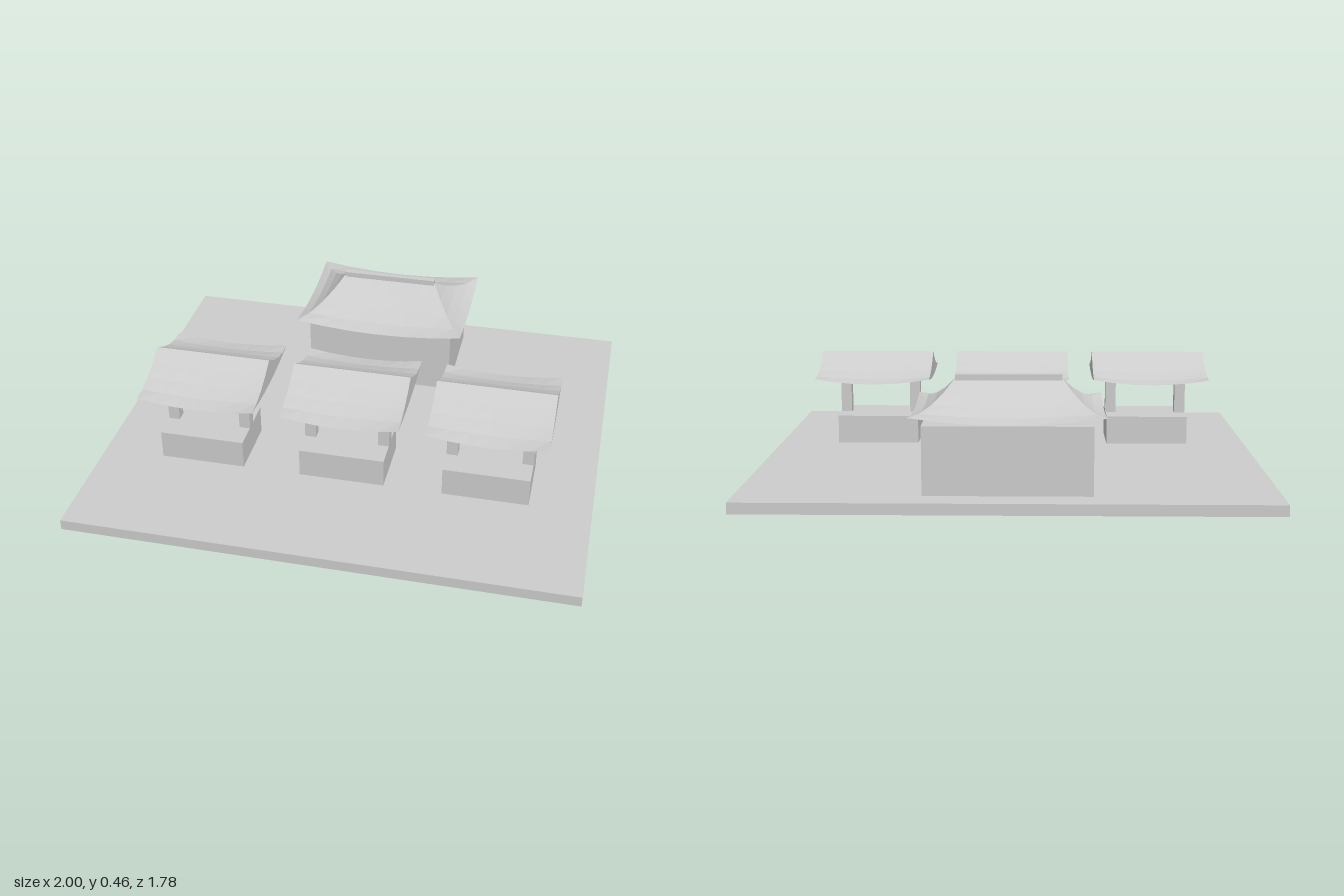
import * as THREE from 'three';

const stone = new THREE.MeshStandardMaterial({ color: 0xcccccc, side: THREE.DoubleSide, flatShading: true });
stone.name = 'pale grey';

function box(name, w, h, d, x, bottom, z) {
  const mesh = new THREE.Mesh(new THREE.BoxGeometry(w, h, d), stone);
  mesh.name = name;
  mesh.position.set(x, bottom + h / 2, z);
  return mesh;
}

// One curved roof side: straight ridge edge a-b down to a sagging eave edge c-d.
function roofSide(name, a, b, c, d, drop, lift) {
  const geo = new THREE.PlaneGeometry(1, 1, 6, 4);
  const pos = geo.attributes.position;
  const top = new THREE.Vector3(), low = new THREE.Vector3();
  for (let i = 0; i < pos.count; i++) {
    const s = pos.getX(i) + 0.5, t = 0.5 - pos.getY(i);
    const u = 2 * s - 1;
    top.lerpVectors(a, b, s);
    low.lerpVectors(c, d, s);
    top.lerp(low, t);
    const y = -drop * (1 - Math.pow(1 - t, 1.6)) + lift * u * u * t * t;
    pos.setXYZ(i, top.x, y, top.z);
  }
  geo.computeVertexNormals();
  const mesh = new THREE.Mesh(geo, stone);
  mesh.name = name;
  return mesh;
}

// Four-sided roof with its ridge at the local origin; a full-width ridge gives gable ends.
function curvedRoof(name, halfX, halfZ, halfRidge, drop, lift) {
  const roof = new THREE.Group();
  roof.name = name;
  const v = (x, z) => new THREE.Vector3(x, 0, z);
  const rl = v(-halfRidge, 0), rr = v(halfRidge, 0);
  const fl = v(-halfX, halfZ), fr = v(halfX, halfZ);
  const bl = v(-halfX, -halfZ), br = v(halfX, -halfZ);
  roof.add(
    roofSide('frontSlope', rl, rr, fl, fr, drop, lift),
    roofSide('backSlope', rr, rl, br, bl, drop, lift),
    roofSide('leftEnd', rr, rr, fr, br, drop, lift),
    roofSide('rightEnd', rl, rl, bl, fl, drop, lift)
  );
  return roof;
}

export function createModel() {
  const model = new THREE.Group();
  model.name = 'templeCourt';
  const ground = 0.043;
  model.add(box('groundSlab', 2, ground, 1.78, 0, 0, 0));

  // Three open pavilions in a row
  for (const x of [-0.58, 0, 0.58]) {
    const pavilion = new THREE.Group();
    pavilion.name = 'pavilion';
    pavilion.position.x = x;
    pavilion.add(box('plinth', 0.345, 0.118, 0.257, 0, ground, 0.281));
    for (const side of [-1, 1]) {
      pavilion.add(box('post', 0.045, 0.16, 0.045, side * 0.151, 0.161, 0.282));
    }
    const roof = curvedRoof('pavilionRoof', 0.2375, 0.257, 0.2375, 0.105, 0.021);
    roof.position.set(0, 0.437, 0.205);
    pavilion.add(roof);
    model.add(pavilion);
  }

  // Main hall with a hipped roof at the back
  const hall = new THREE.Group();
  hall.name = 'mainHall';
  hall.add(box('hallWalls', 0.625, 0.258, 0.448, 0, ground, -0.557));
  const hallRoof = curvedRoof('hallRoof', 0.36, 0.276, 0.2, 0.13, 0.028);
  hallRoof.position.set(0, 0.443, -0.557);
  hall.add(hallRoof, box('ridgeBeam', 0.4, 0.025, 0.025, 0, 0.432, -0.557));
  model.add(hall);

  return model;
}
